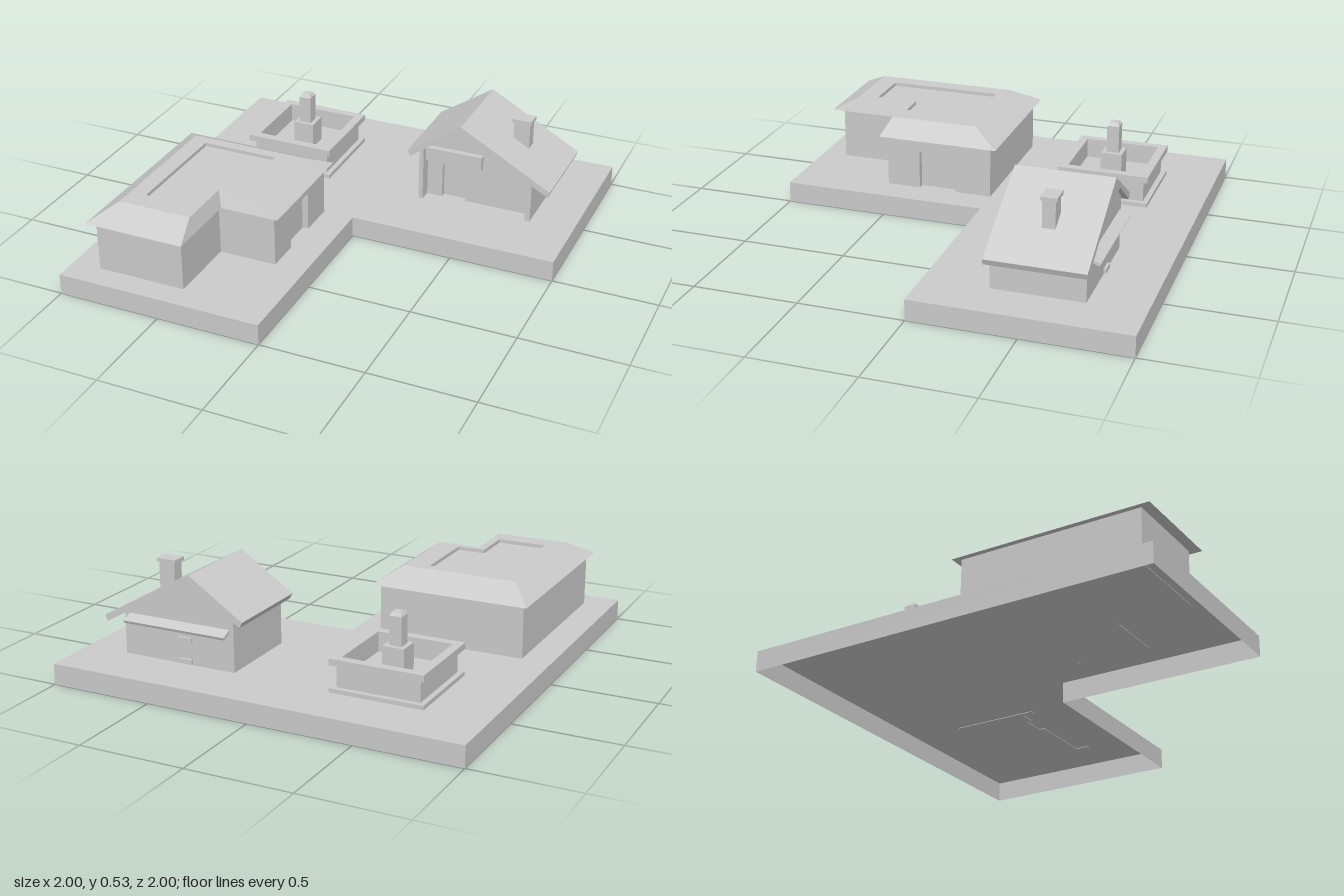
import * as THREE from 'three';

const grey = new THREE.MeshStandardMaterial({ color: 0xcccccc, flatShading: true, side: THREE.DoubleSide });

function add(parent, name, geometry) {
  const mesh = new THREE.Mesh(geometry, grey);
  mesh.name = name;
  parent.add(mesh);
  return mesh;
}

// Box from its minimum and maximum corners
function box(parent, name, [x0, y0, z0], [x1, y1, z1]) {
  const g = new THREE.BoxGeometry(x1 - x0, y1 - y0, z1 - z0);
  g.translate((x0 + x1) / 2, (y0 + y1) / 2, (z0 + z1) / 2);
  return add(parent, name, g);
}

// Front profile of [x, y] points pushed from z0 to z1
function slab(parent, name, points, z0, z1) {
  const shape = new THREE.Shape(points.map(p => new THREE.Vector2(...p)));
  const g = new THREE.ExtrudeGeometry(shape, { depth: z1 - z0, bevelEnabled: false });
  g.translate(0, 0, z0);
  return add(parent, name, g);
}

// Skin over a stack of rings [plan, y]; each plan is [x, z] points, anticlockwise from above
function loft(parent, name, rings, bottom = true) {
  const pos = [];
  const put = ([plan, y], i) => pos.push(plan[i][0], y, plan[i][1]);
  for (let r = 0; r < rings.length - 1; r++) {
    const a = rings[r], b = rings[r + 1], n = a[0].length;
    for (let i = 0; i < n; i++) {
      const j = (i + 1) % n;
      put(a, i); put(a, j); put(b, j);
      put(a, i); put(b, j); put(b, i);
    }
  }
  const cap = (ring, flip) => {
    const contour = ring[0].map(([x, z]) => new THREE.Vector2(x, -z));
    for (const f of THREE.ShapeUtils.triangulateShape(contour, [])) {
      (flip ? [f[0], f[2], f[1]] : f).forEach(i => put(ring, i));
    }
  };
  cap(rings[rings.length - 1], false);
  if (bottom) cap(rings[0], true);
  const g = new THREE.BufferGeometry();
  g.setAttribute('position', new THREE.Float32BufferAttribute(pos, 3));
  g.computeVertexNormals();
  return add(parent, name, g);
}

// L-shaped plan with its notch at the front left
const ell = (x0, xn, x1, z0, zn, z1) => [[x0, z1], [xn, z1], [xn, zn], [x1, zn], [x1, z0], [x0, z0]];

function group(parent, name) {
  const g = new THREE.Group();
  g.name = name;
  parent.add(g);
  return g;
}

function buildCornerHouse(parent) {
  const house = group(parent, 'cornerHouse');
  const plan = ell(-0.86, -0.43, -0.15, 0, 0.53, 0.88);
  // Lower walls have the doorway cut into the side
  const doorPlan = [...plan.slice(0, 4), [-0.15, 0.365], [-0.18, 0.365], [-0.18, 0.18], [-0.15, 0.18], ...plan.slice(4)];
  loft(house, 'lowerWalls', [[doorPlan, 0.097], [doorPlan, 0.29]]);
  loft(house, 'upperWalls', [[plan, 0.29], [plan, 0.357]]);
  // Sloping roof with a sunken flat top
  const eave = ell(-0.885, -0.4, -0.118, -0.035, 0.562, 0.93);
  const top = ell(-0.78, -0.425, -0.22, 0.1, 0.53, 0.8);
  const well = ell(-0.7, -0.465, -0.333, 0.15, 0.5, 0.705);
  loft(house, 'roof', [[eave, 0.355], [top, 0.427], [well, 0.427], [well, 0.41]]);
}

function buildGableHouse(parent) {
  const house = group(parent, 'gableHouse');
  const gable = [[0.785, 0.298], [0.51, 0.452], [0.345, 0.452], [0.215, 0.36]];
  slab(house, 'walls', [[0.215, 0.097], [0.785, 0.097], ...gable], -0.735, -0.395);
  // Front wall with the doorway
  slab(house, 'frontWall', [[0.215, 0.097], [0.315, 0.097], [0.315, 0.28], [0.435, 0.28], [0.435, 0.097],
    [0.785, 0.097], ...gable], -0.395, -0.37);
  // Side walls run forward past the front wall
  slab(house, 'sideWallLeft', [[0.76, 0.097], [0.785, 0.097], [0.785, 0.298], [0.76, 0.312]], -0.37, -0.308);
  slab(house, 'sideWallRight', [[0.215, 0.097], [0.237, 0.097], [0.237, 0.375], [0.215, 0.36]], -0.37, -0.308);
  box(house, 'doorCanopy', [0.235, 0.298, -0.37], [0.52, 0.367, -0.34]);
  slab(house, 'roof', [[0.155, 0.352], [0.17, 0.325], [0.345, 0.45], [0.51, 0.45], [0.866, 0.25],
    [0.877, 0.278], [0.423, 0.53]], -0.76, -0.303);
  // Sloping awning and small battens at the back
  const awning = add(house, 'backAwning', new THREE.BoxGeometry(0.525, 0.014, 0.06));
  awning.position.set(0.4975, 0.282, -0.756);
  awning.rotation.x = -0.4;
  for (const y of [0.105, 0.207]) box(house, 'backBatten', [0.43, y, -0.747], [0.5, y + 0.022, -0.73]);
  // Chimney
  box(house, 'chimney', [0.62, 0.36, -0.57], [0.7, 0.51, -0.51]);
  box(house, 'chimneyCap', [0.61, 0.505, -0.578], [0.708, 0.522, -0.502]);
}

function buildFountain(parent) {
  const fountain = group(parent, 'fountain');
  const ring = ([h, y]) => [[[-h, h], [h, h], [h, -h], [-h, -h]], y];
  // Step, wall, rim and sunken basin
  loft(fountain, 'basin', [[0.222, 0.1], [0.222, 0.12], [0.197, 0.12], [0.197, 0.225], [0.222, 0.225],
    [0.222, 0.255], [0.18, 0.255], [0.18, 0.16]].map(ring));
  // Stepped pillar
  loft(fountain, 'pillar', [[0.052, 0.16], [0.052, 0.285], [0.03, 0.285], [0.03, 0.42], [0.02, 0.436]].map(ring));
  fountain.position.set(-0.485, 0, -0.528);
}

export function createModel() {
  const model = new THREE.Group();
  model.name = 'courtyard';
  // L-shaped ground plate, open underneath
  const plate = ell(-1, 0, 1, -1, 0, 1);
  loft(model, 'groundPlate', [[plate, 0], [plate, 0.1]], false);
  buildCornerHouse(model);
  buildGableHouse(model);
  buildFountain(model);
  return model;
}
